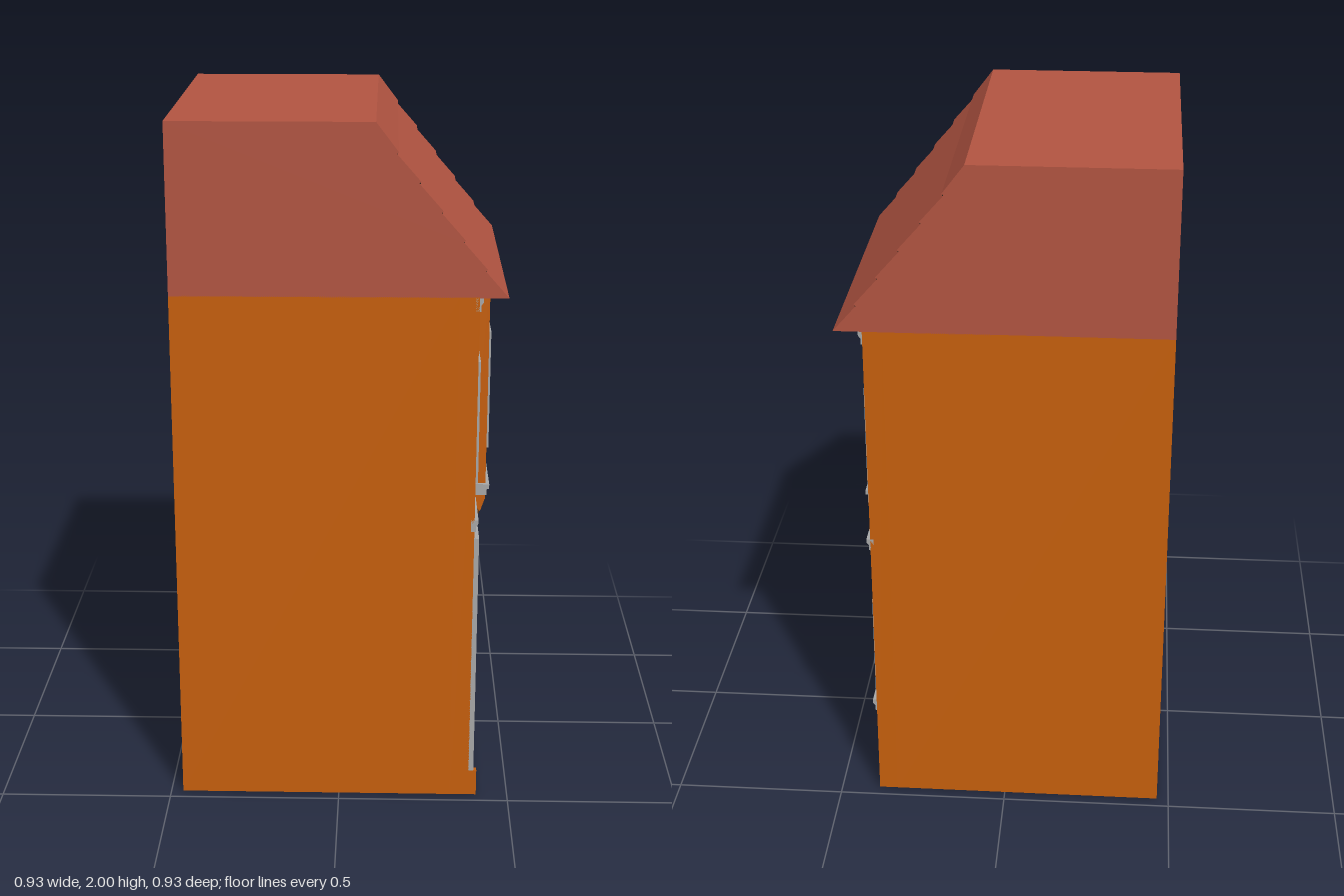
import * as THREE from 'three';

const mat = (color) => new THREE.MeshStandardMaterial({ color });
const WALL = mat(0xc8600d), ROOF = mat(0xb35542), TRIM = mat(0xaaaaaa), DOOR = mat(0x4a382c),
  GLASS = mat(0x8f6036), BAR = mat(0x5f3208), DARK = mat(0x33241a);
const H = 0.465;        // half depth along z
const WALL_X = 0.385;   // street wall plane
const BAY_X = 0.43;     // bay wall plane

export function createModel() {
  const house = new THREE.Group();
  house.name = 'townHouse';

  const add = (name, geometry, material, parent = house) => {
    const mesh = new THREE.Mesh(geometry, material);
    mesh.name = name;
    parent.add(mesh);
    return mesh;
  };
  // box given by its limits
  const box = (name, material, x0, x1, y0, y1, z0, z1, parent) => add(name,
    new THREE.BoxGeometry(x1 - x0, y1 - y0, Math.abs(z1 - z0))
      .translate((x0 + x1) / 2, (y0 + y1) / 2, (z0 + z1) / 2), material, parent);

  const rect = (path, z0, z1, y0, y1) => {
    path.moveTo(-z0, y0); path.lineTo(-z1, y0); path.lineTo(-z1, y1); path.lineTo(-z0, y1);
    path.closePath();
    return path;
  };
  // upright slab facing +x, extruded from x0 to x1, with rectangular holes
  const slab = (name, material, x0, x1, outline, holes, parent) => {
    const shape = outline instanceof THREE.Shape ? outline : rect(new THREE.Shape(), ...outline);
    holes.forEach((h) => shape.holes.push(rect(new THREE.Path(), ...h)));
    const g = new THREE.ExtrudeGeometry(shape, { depth: x1 - x0, bevelEnabled: false });
    return add(name, g.rotateY(Math.PI / 2).translate(x0, 0, 0), material, parent);
  };
  const inset = ([z0, z1, y0, y1], d) => [z0 - d, z1 + d, y0 + d, y1 - d];

  // window outer limits: z left, z right, bottom, top, wall plane
  const windows = [
    { r: [0.42, 0.205, 0.97, 1.33], x: WALL_X },
    { r: [0.107, -0.107, 0.97, 1.33], x: BAY_X },
    { r: [-0.21, -0.418, 0.97, 1.33], x: WALL_X },
    { r: [0.107, -0.107, 0.32, 0.645], x: WALL_X },
    { r: [-0.21, -0.418, 0.32, 0.645], x: WALL_X },
  ];

  // main block and street wall with door notch and window openings
  box('mainBlock', WALL, -H, 0.33, 0, 1.525, -H, H);
  const front = new THREE.Shape([
    [-H, 0], [-0.449, 0], [-0.449, 0.8], [-0.185, 0.8], [-0.185, 0], [H, 0], [H, 1.525], [-H, 1.525],
  ].map(([u, y]) => new THREE.Vector2(u, y)));
  slab('streetWall', WALL, 0.33, WALL_X, front, windows.map((w) => inset(w.r, 0.012)));

  // projecting bay
  slab('bayWall', WALL, WALL_X, BAY_X, [0.162, -0.162, 0.825, 1.525], [inset(windows[1].r, 0.012)]);

  // windows: surround, sash, glass and glazing bars
  windows.forEach(({ r, x }) => {
    const g = new THREE.Group();
    g.name = 'window';
    house.add(g);
    const open = inset(r, 0.012);
    slab('windowSurround', TRIM, x - 0.002, x + 0.009, r, [inset(r, 0.014)], g);
    slab('windowSash', BAR, x - 0.032, x - 0.02, open, [inset(open, 0.006)], g);
    const [z0, z1, y0, y1] = open, zc = (z0 + z1) / 2, yc = (y0 + y1) / 2;
    box('glass', GLASS, x - 0.04, x - 0.032, y0, y1, z0, z1, g);
    box('uprightBar', BAR, x - 0.032, x - 0.022, y0, y1, zc - 0.004, zc + 0.004, g);
    box('crossBar', BAR, x - 0.032, x - 0.022, yc - 0.004, yc + 0.004, z0, z1, g);
  });

  // moulding: stepped profile extruded along z, with splayed ends where it wraps the bay
  const moulding = (name, x, y0, y1, z0, z1, flare = 0) => {
    const h = y1 - y0;
    const profile = new THREE.Shape([
      [-0.01, 0], [0.004, 0], [0.004, h * 0.45], [0.011, h * 0.7], [0.011, h], [-0.01, h],
    ].map(([px, py]) => new THREE.Vector2(x + px, y0 + py)));
    const g = new THREE.ExtrudeGeometry(profile, { depth: z1 - z0, bevelEnabled: false }).translate(0, 0, z0);
    add(name, g, TRIM);
    if (flare) for (const [a, b] of [[z0 - flare, z0], [z1, z1 + flare]]) {
      box(name + 'Return', TRIM, WALL_X, x + 0.011, y0 + h * 0.6, y1, a, b);
      box(name + 'ReturnFoot', TRIM, WALL_X, x + 0.004, y0, y0 + h * 0.6, a + flare * 0.5, b - (a < z0 ? 0 : flare * 0.5));
    }
  };
  for (const [name, y0, y1] of [['eavesCornice', 1.485, 1.523], ['floorCornice', 0.84, 0.876]]) {
    moulding(name, WALL_X, y0, y1, 0.162, H);
    moulding(name, WALL_X, y0, y1, -H, -0.162);
    moulding('bay' + name, BAY_X, y0, y1, -0.162, 0.162, 0.009);
  }
  moulding('sillBand', WALL_X, 0.285, 0.322, -H, 0.165);

  // curved brackets under the bay
  for (const z of [0.148, -0.148]) {
    const s = new THREE.Shape();
    s.moveTo(WALL_X, 0.83);
    s.lineTo(WALL_X, 0.78);
    s.quadraticCurveTo(0.415, 0.775, 0.42, 0.8);
    s.lineTo(BAY_X, 0.83);
    add('bayBracket', new THREE.ExtrudeGeometry(s, { depth: 0.028, bevelEnabled: false })
      .translate(0, 0, z - 0.014), WALL);
    const roll = add('bracketRoll', new THREE.CylinderGeometry(0.011, 0.011, 0.03, 12).rotateX(Math.PI / 2), BAR);
    roll.position.set(0.402, 0.786, z);
  }

  // doorway: surround, plinth blocks, leaf with rails, handle and steps
  for (const [z0, z1] of [[0.447, H], [0.167, 0.187]]) {
    box('doorJamb', TRIM, 0.38, 0.399, 0.08, 0.82, z0, z1);
    box('jambPlinth', WALL, 0.38, 0.408, 0, 0.08, z0, z1);
  }
  box('doorLintel', TRIM, 0.38, 0.399, 0.8, 0.82, 0.167, H);
  box('doorLeaf', DOOR, 0.33, 0.34, 0.06, 0.8, 0.185, 0.449);
  slab('doorFrame', DARK, 0.34, 0.346, [0.449, 0.185, 0.06, 0.8], [[0.443, 0.191, 0.066, 0.794]]);
  for (const [y, t] of [[0.645, 0.004], [0.353, 0.008]])
    box('doorRail', DARK, 0.34, 0.347, y - t, y + t, 0.191, 0.443);
  box('doorHandle', DARK, 0.34, 0.356, 0.4, 0.45, 0.418, 0.426);
  box('upperStep', WALL, 0.33, 0.368, 0, 0.066, 0.185, 0.449);
  box('lowerStep', WALL, 0.368, 0.402, 0, 0.035, 0.187, 0.447);

  // roof: flat top and a street slope of overlapping tile courses
  const roof = [[-H, 1.523], [-H, 2], [0.1, 2]];
  for (let i = 1; i <= 6; i++) {
    const x = 0.1 + 0.0608 * i, y = 2 - 0.0795 * i;
    roof.push([x, y]);
    if (i < 6) roof.push([x - 0.005, y - 0.005]);
  }
  add('roof', new THREE.ExtrudeGeometry(
    new THREE.Shape(roof.map(([x, y]) => new THREE.Vector2(x, y)).reverse()),
    { depth: 2 * H, bevelEnabled: false }).translate(0, 0, -H), ROOF);
  for (let i = 1; i < 6; i++) {
    const x = 0.1 + 0.0608 * i, y = 2 - 0.0795 * i;
    box('tileShadow', DARK, x - 0.012, x - 0.002, y - 0.006, y - 0.001, -H + 0.001, H - 0.001);
  }
  return house;
}
